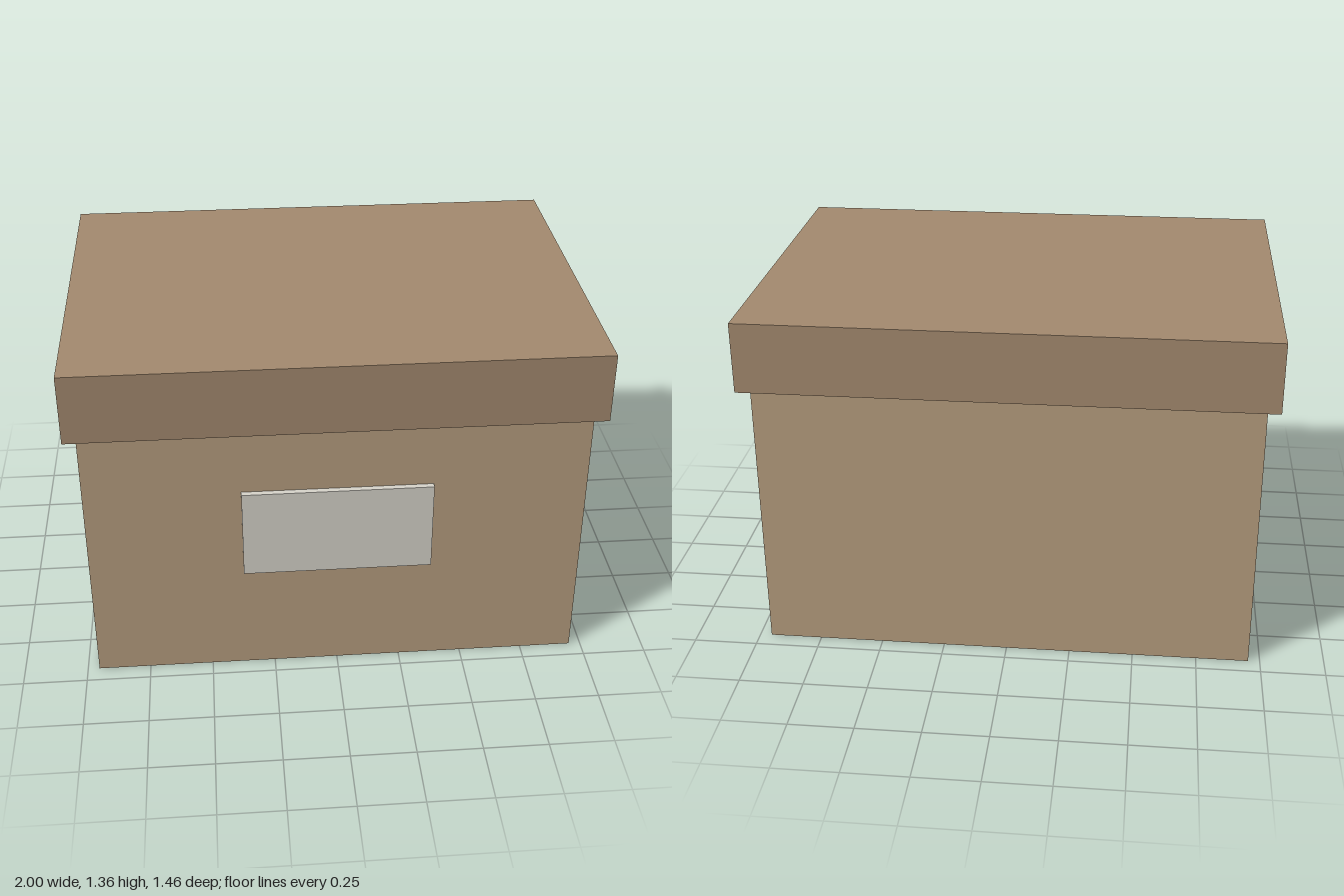
import * as THREE from 'three';

export function createModel() {
  const model = new THREE.Group();
  model.name = 'storageBox';

  // Adds a box resting at height y, centred on x, with its middle at z
  function addBox(name, color, [w, h, d], y, z = 0) {
    const mesh = new THREE.Mesh(
      new THREE.BoxGeometry(w, h, d),
      new THREE.MeshStandardMaterial({ color })
    );
    mesh.name = name;
    mesh.position.set(0, y + h / 2, z);
    model.add(mesh);
  }

  // Cardboard body
  addBox('body', 0xb89f80, [1.909, 1.091, 1.364], 0);

  // Overhanging lid
  addBox('lid', 0xa58b70, [2, 0.273, 1.455], 1.091);

  // Label plate on the front, sunk slightly into the body
  addBox('label', 0xd8d5cc, [0.727, 0.364, 0.036], 0.455, 0.687);

  return model;
}
